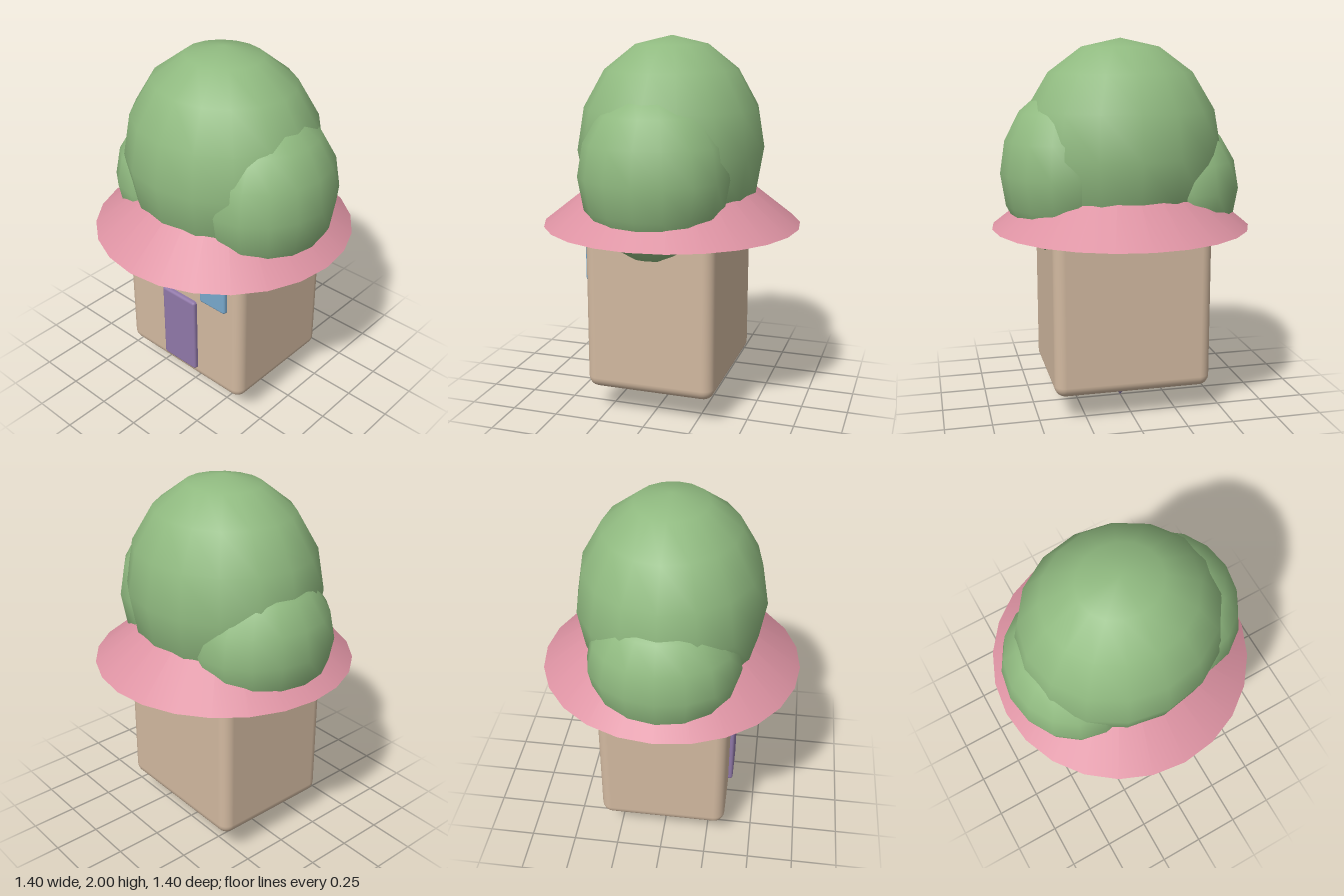
import * as THREE from 'three';
import { RoundedBoxGeometry } from 'three/addons/geometries/RoundedBoxGeometry.js';

const mat = (color, flatShading = false) => new THREE.MeshStandardMaterial({ color, flatShading });
const tan = mat(0xd2b9a0);
const green = mat(0x90ba80);
const pink = mat(0xdc92a2);
const purple = mat(0x9078a8);
const crystal = mat(0x8474ac, true);
const blue = mat(0x78a8cc);
const navy = mat(0x2c2c44);

export function createModel() {
  const model = new THREE.Group();

  const add = (name, geometry, material, [x, y, z]) => {
    const mesh = new THREE.Mesh(geometry, material);
    mesh.name = name;
    mesh.position.set(x, y, z);
    model.add(mesh);
    return mesh;
  };
  const ellipsoid = (name, material, position, radii, w = 16, h = 8) =>
    add(name, new THREE.SphereGeometry(1, w, h).scale(...radii), material, position);
  const roundedBox = (name, material, position, [w, h, d], radius, segments) =>
    add(name, new RoundedBoxGeometry(w, h, d, segments, radius), material, position);

  // House body with door and window on the front
  roundedBox('body', tan, [0, 0.595, 0], [0.85, 0.9, 0.7], 0.06, 4);
  roundedBox('door', purple, [0, 0.448, 0.35], [0.24, 0.465, 0.05], 0.015, 2);
  roundedBox('window', blue, [0.25, 0.82, 0.35], [0.18, 0.2, 0.05], 0.015, 2);

  // Face tucked under the brim
  for (const side of [-1, 1]) {
    ellipsoid(side > 0 ? 'leftEye' : 'rightEye', navy, [side * 0.14, 1, 0.35], [0.04, 0.055, 0.025]);
  }
  ellipsoid('mouth', pink, [0, 0.88, 0.36], [0.05, 0.021, 0.03]);

  // Conical brim, closed underneath
  add('brim', new THREE.ConeGeometry(0.7, 0.55, 24), pink, [0, 1.275, 0]);

  // Foliage crown made of three overlapping masses
  ellipsoid('crown', green, [0, 1.4, 0], [0.55, 0.6, 0.5]);
  ellipsoid('leftFoliage', green, [0.3, 1.3, 0], [0.35, 0.45, 0.4]);
  ellipsoid('rightFoliage', green, [-0.3, 1.2, 0], [0.35, 0.4, 0.4]);

  // Boss under the floor with a crystal pointing down
  ellipsoid('baseBoss', tan, [0, 0.2, 0], [0.2, 0.1, 0.2]);
  const tip = add('crystalTip', new THREE.ConeGeometry(0.165, 0.2, 6), crystal, [0, 0.1, 0]);
  tip.rotation.x = Math.PI;

  return model;
}
